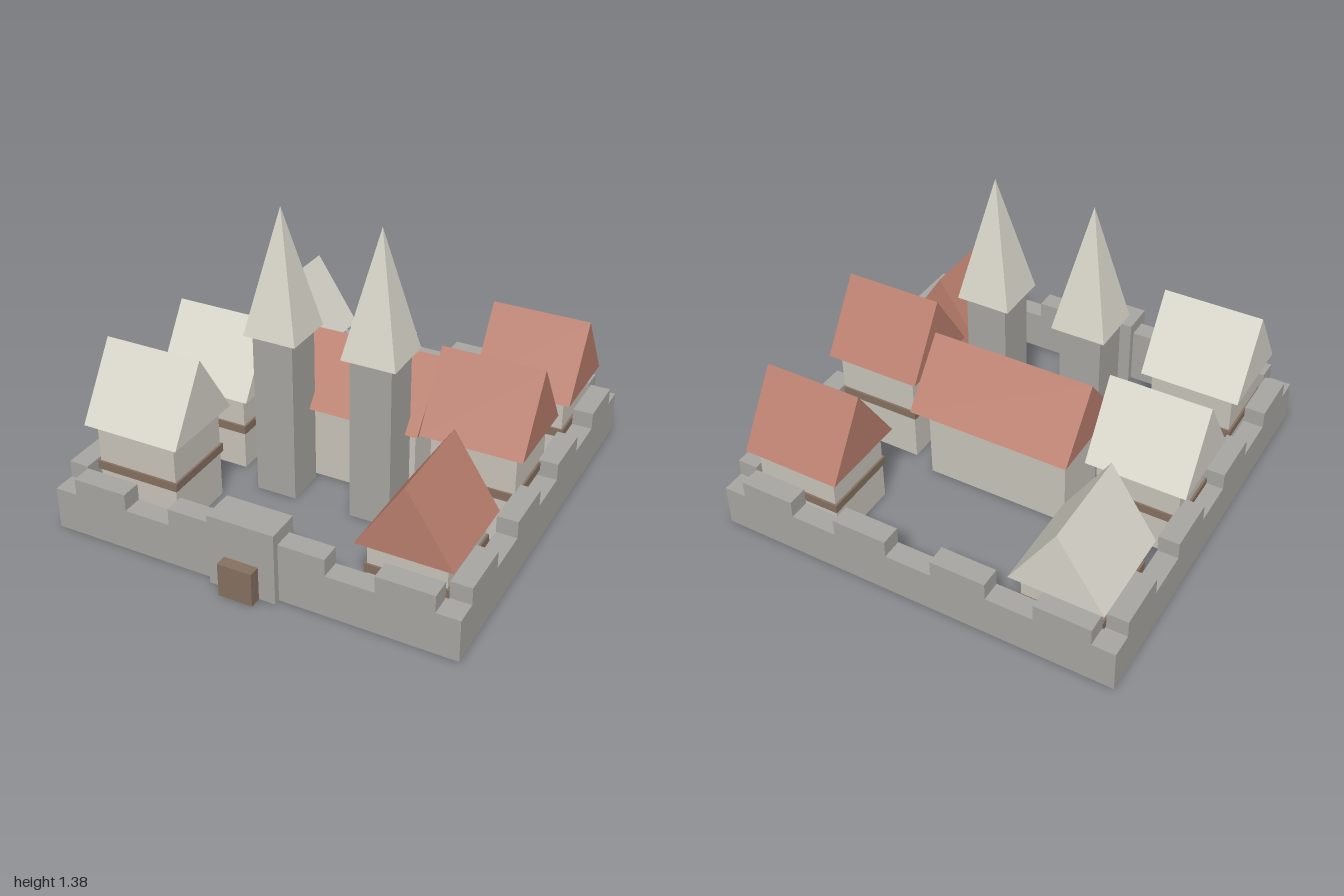
import * as THREE from 'three';

const mat = (name, color) => {
  const m = new THREE.MeshStandardMaterial({ color });
  m.name = name;
  return m;
};

export function createModel() {
  const town = new THREE.Group();
  town.name = 'walledTown';
  const stone = mat('stone', 0xa8a6a2);
  const plaster = mat('plaster', 0xc8c4ba);
  const pale = mat('paleSlate', 0xd8d6ca);
  const red = mat('redTile', 0xb97e6d);
  const wood = mat('wood', 0x857060);

  const add = (parent, name, geometry, material, x, y, z) => {
    const mesh = new THREE.Mesh(geometry, material);
    mesh.name = name;
    mesh.position.set(x, y, z);
    parent.add(mesh);
    return mesh;
  };
  // Box standing on height y
  const box = (parent, name, material, w, h, d, x, y, z) =>
    add(parent, name, new THREE.BoxGeometry(w, h, d), material, x, y + h / 2, z);

  // Gable roof with its ridge along z, or along x when turned
  const gable = (parent, material, span, height, length, y, turned) => {
    const s = new THREE.Shape();
    s.moveTo(-span / 2, 0);
    s.lineTo(span / 2, 0);
    s.lineTo(0, height);
    s.closePath();
    const g = new THREE.ExtrudeGeometry(s, { depth: length, bevelEnabled: false });
    g.translate(0, 0, -length / 2);
    if (turned) g.rotateY(Math.PI / 2);
    return add(parent, 'gableRoof', g, material, 0, y, 0);
  };

  // Town wall with merlons
  const midZ = -0.043, half = 0.957, thick = 0.096;
  const wall = new THREE.Group();
  wall.name = 'townWall';
  town.add(wall);
  for (const s of [-1, 1]) {
    const off = s * (half - thick / 2);
    box(wall, s > 0 ? 'frontWall' : 'backWall', stone, 2 * half, 0.2, thick, 0, 0, midZ + off);
    box(wall, 'sideWall', stone, thick, 0.2, 2 * (half - thick), off, 0, midZ);
    for (const p of [-0.72, -0.24, 0.24, 0.72]) {
      box(wall, 'merlon', stone, 0.26, 0.08, thick, p, 0.2, midZ + off);
      box(wall, 'merlon', stone, thick, 0.08, 0.26, off, 0.2, midZ + p);
    }
  }

  // Gatehouse
  box(town, 'gatehouse', stone, 0.314, 0.34, 0.16, 0, 0, 0.865);
  box(town, 'gateDoor', wood, 0.16, 0.16, 0.056, 0, 0, 0.972);

  // Church: nave and twin spired towers
  const church = new THREE.Group();
  church.name = 'church';
  church.position.z = -0.125;
  town.add(church);
  box(church, 'nave', plaster, 0.7, 0.4, 0.3, 0, 0, 0);
  gable(church, red, 0.47, 0.293, 0.79, 0.4, true);
  for (const s of [-1, 1]) {
    box(church, 'tower', stone, 0.197, 0.8, 0.197, s * 0.238, 0, 0.28);
    const spire = new THREE.ConeGeometry(0.128 * Math.SQRT2, 0.583, 4).toNonIndexed();
    spire.rotateY(Math.PI / 4);
    spire.computeVertexNormals();
    add(church, 'spire', spire, pale, s * 0.238, 0.8 + 0.583 / 2, 0.28);
  }

  // Houses: x, z, eave height, roof, ridge along x
  const houses = [
    [-0.653, -0.695, 0.3, pale, false],
    [-0.672, -0.043, 0.38, pale, true],
    [-0.655, 0.548, 0.46, pale, true],
    [0.65, -0.695, 0.38, red, true],
    [0.669, -0.043, 0.46, red, true],
    [0.651, 0.549, 0.3, red, false],
  ];
  for (const [x, z, h, roof, turned] of houses) {
    const house = new THREE.Group();
    house.name = 'house';
    house.position.set(x, 0, z);
    town.add(house);
    const [w, d] = turned ? [0.394, 0.354] : [0.354, 0.394];
    box(house, 'houseBody', plaster, w, h, d, 0, 0, 0);
    box(house, 'timberBand', wood, w + 0.02, 0.04, d + 0.02, 0, h / 2, 0);
    gable(house, roof, 0.433, 0.335, 0.473, h, turned);
  }
  return town;
}
